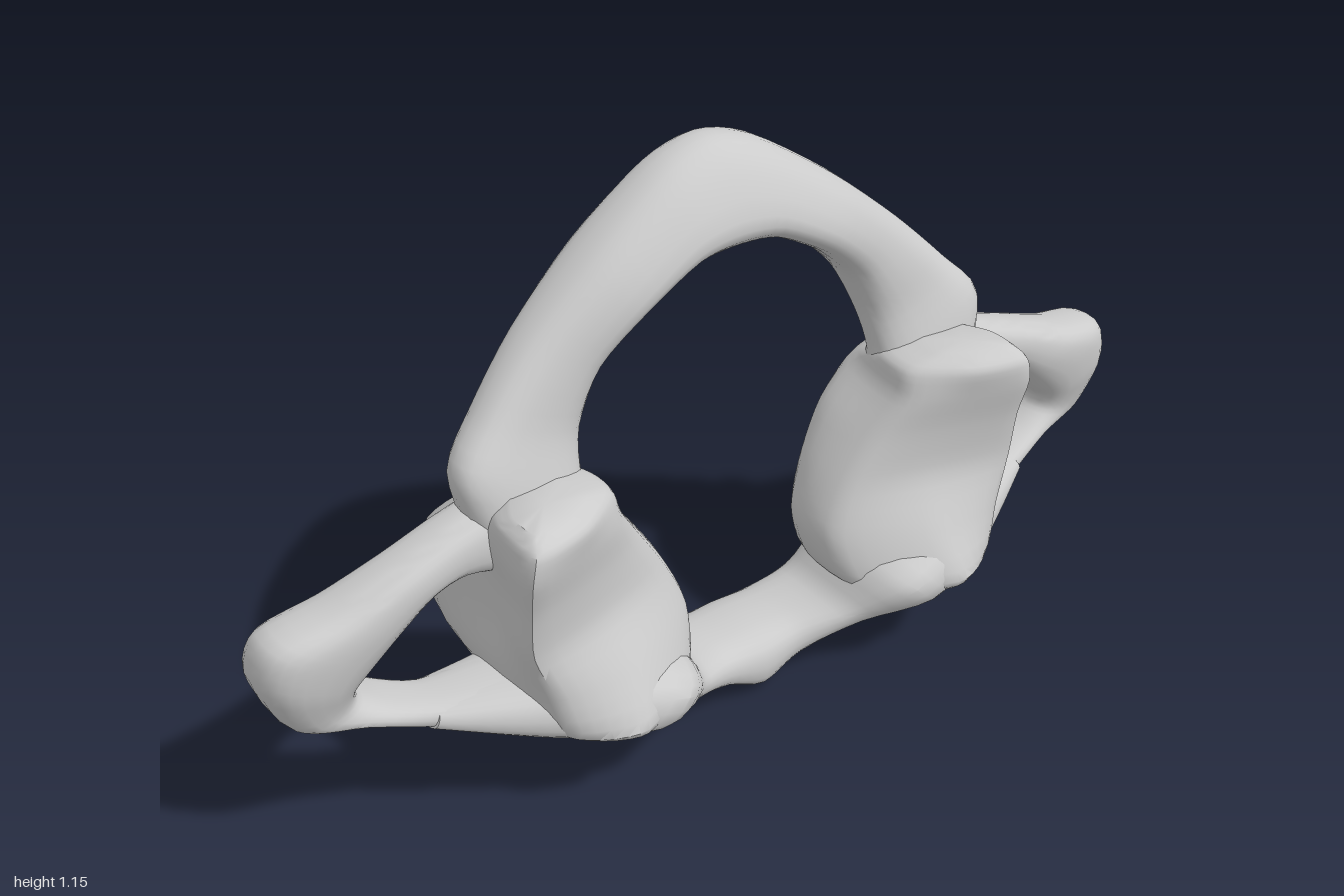
import * as THREE from 'three';
import { toCreasedNormals } from 'three/addons/utils/BufferGeometryUtils.js';

const bone = new THREE.MeshStandardMaterial({ color: 0xcccccc });
const V = (x, y, z) => new THREE.Vector3(x, y, z);

// Skin a row of equal rings, smoothed along its length and capped at both ends
function skin(rings, steps = 4) {
  const n = rings[0].length, rows = (rings.length - 1) * steps;
  const pos = [], idx = [];
  const rails = rings[0].map((_, i) => new THREE.CatmullRomCurve3(rings.map(r => r[i]), false, 'catmullrom', 0.4));
  for (let r = 0; r <= rows; r++)
    for (const rail of rails) pos.push(...rail.getPoint(r / rows).toArray());
  for (let r = 0; r < rows; r++)
    for (let i = 0; i < n; i++) {
      const a = r * n + i, b = r * n + (i + 1) % n;
      idx.push(a, b, a + n, b, b + n, a + n);
    }
  for (const [row, flip] of [[0, true], [rows, false]]) {
    const c = V(0, 0, 0), hub = pos.length / 3;
    for (let i = 0; i < n; i++) c.add(V(0, 0, 0).fromArray(pos, (row * n + i) * 3));
    pos.push(...c.divideScalar(n).toArray());
    for (let i = 0; i < n; i++) {
      const a = row * n + i, b = row * n + (i + 1) % n;
      idx.push(...(flip ? [hub, b, a] : [hub, a, b]));
    }
  }
  return outward(pos, idx);
}

// Turn the faces outward (positive enclosed volume) and smooth the normals
function outward(pos, idx) {
  let volume = 0;
  const p = i => V(pos[i * 3], pos[i * 3 + 1], pos[i * 3 + 2]);
  for (let i = 0; i < idx.length; i += 3)
    volume += p(idx[i]).dot(p(idx[i + 1]).cross(p(idx[i + 2])));
  if (volume < 0) idx.reverse();
  const g = new THREE.BufferGeometry();
  g.setAttribute('position', new THREE.Float32BufferAttribute(pos, 3));
  g.setIndex(idx);
  return toCreasedNormals(g, 0.75);
}

// Rounded ring from an outer point, an inner point and a front and back depth;
// crest thins the outer side, drawing its front edge backward
function section([ox, oy, ix, iy, front, back, crest = 0], n = 24) {
  const ring = [], soft = v => Math.sign(v) * Math.abs(v) ** 0.75;
  for (let i = 0; i < n; i++) {
    const a = i / n * Math.PI * 2, u = soft(Math.cos(a)) / 2, w = soft(Math.sin(a)) / 2;
    const f = front - crest * (u + 0.5);
    ring.push(V((ox + ix) / 2 + (ox - ix) * u, (oy + iy) / 2 + (oy - iy) * u,
      (f + back) / 2 + (f - back) * w));
  }
  return ring;
}

// Extend half an arch, listed from the midline outward, to both sides
const bothSides = half => [
  ...half.slice(1).reverse().map(([ox, oy, ix, iy, ...depth]) => [-ox, oy, -ix, iy, ...depth]), ...half];

function mirrored(g) {
  const pos = Array.from(g.attributes.position.array, (v, i) => i % 3 ? v : -v);
  const m = new THREE.BufferGeometry();
  const out = [];
  for (let i = 0; i < pos.length; i += 9)
    out.push(...pos.slice(i, i + 3), ...pos.slice(i + 6, i + 9), ...pos.slice(i + 3, i + 6));
  m.setAttribute('position', new THREE.Float32BufferAttribute(out, 3));
  return toCreasedNormals(m, 0.75);
}

export function createModel() {
  const group = new THREE.Group();
  const add = (name, geometry) => {
    const mesh = new THREE.Mesh(geometry, bone);
    mesh.name = name;
    group.add(mesh);
  };
  const addPair = (name, geometry) => {
    add('left' + name, geometry);
    add('right' + name, mirrored(geometry));
  };

  // Tall arch over the opening: outer x, y, inner x, y, front z, back z, crest
  add('posteriorArch', skin(bothSides([
    [0, 1.155, 0, 0.965, 0.035, -0.185, 0.1],
    [0.11, 1.125, 0.09, 0.955, 0.035, -0.185, 0.09],
    [0.27, 1.02, 0.2, 0.895, 0.03, -0.18, 0.06],
    [0.42, 0.895, 0.285, 0.815, 0.005, -0.155, 0.03],
    [0.53, 0.785, 0.335, 0.71, 0.0, -0.125],
    [0.6, 0.7, 0.35, 0.62, 0.03, -0.1],
    [0.57, 0.54, 0.34, 0.52, 0.06, -0.11],
  ]).map(s => section(s))));

  // Low arch closing the opening, sweeping out under the blocks to the wings
  add('anteriorArch', skin(bothSides([
    [0, 0.0, 0, 0.138, 0.085, -0.13],
    [0.09, 0.045, 0.09, 0.14, 0.085, -0.115],
    [0.22, 0.105, 0.17, 0.165, 0.135, -0.1],
    [0.36, 0.138, 0.24, 0.25, 0.215, -0.1],
    [0.5, 0.168, 0.42, 0.3, 0.18, -0.11],
    [0.6, 0.198, 0.56, 0.29, 0.12, -0.09],
    [0.72, 0.237, 0.7, 0.28, 0.045, -0.08],
  ]).map(s => section(s))));

  // Side blocks with a hollow front and a flat slanted back facet.
  // Each level: y, then x, z pairs from the inner front round to the inner back
  const levels = [
    [0.16, 0.26, 0.12, 0.36, 0.18, 0.42, 0.14, 0.44, 0.05, 0.4, -0.1, 0.28, -0.09],
    [0.2, 0.2, 0.1, 0.38, 0.225, 0.5, 0.17, 0.54, 0.04, 0.49, -0.165, 0.22, -0.095],
    [0.3, 0.18, 0.06, 0.36, 0.17, 0.53, 0.16, 0.57, 0.0, 0.55, -0.215, 0.2, -0.1],
    [0.4, 0.22, 0.05, 0.38, 0.12, 0.565, 0.15, 0.56, 0.0, 0.572, -0.233, 0.23, -0.11],
    [0.5, 0.28, 0.06, 0.42, 0.13, 0.57, 0.16, 0.56, 0.0, 0.565, -0.22, 0.29, -0.125],
    [0.58, 0.33, 0.08, 0.44, 0.15, 0.575, 0.18, 0.57, 0.02, 0.51, -0.15, 0.36, -0.115],
    [0.635, 0.35, 0.08, 0.45, 0.16, 0.565, 0.18, 0.57, 0.05, 0.5, -0.05, 0.36, -0.02],
    [0.66, 0.42, 0.09, 0.47, 0.13, 0.545, 0.15, 0.55, 0.08, 0.5, 0.0, 0.43, 0.02],
  ];
  addPair('LateralMass', skin(levels.map(([y, ...xz]) => {
    const corners = [];
    for (let i = 0; i < xz.length; i += 2) corners.push(V(xz[i], y, xz[i + 1]));
    const outline = new THREE.CatmullRomCurve3(corners, true, 'catmullrom', 0.35);
    return outline.getPoints(36).slice(0, -1);
  })));

  // Side wing: a loop of bone from the block out to the tip and back round a hole
  addPair('TransverseProcess', skin([
    [0.5, 0.65, 0.5, 0.48, 0.03, -0.1],
    [0.62, 0.62, 0.61, 0.515, 0.03, -0.09],
    [0.74, 0.58, 0.675, 0.505, 0.035, -0.09],
    [0.86, 0.535, 0.735, 0.455, 0.035, -0.11],
    [0.975, 0.505, 0.79, 0.395, 0.03, -0.13],
    [0.998, 0.42, 0.82, 0.36, 0.02, -0.155],
    [0.95, 0.305, 0.815, 0.33, 0.0, -0.165],
    [0.84, 0.275, 0.77, 0.3, 0.01, -0.13],
    [0.7, 0.232, 0.69, 0.285, 0.045, -0.08],
    [0.55, 0.2, 0.56, 0.29, 0.1, -0.08],
  ].map(s => section(s))));

  return group;
}
